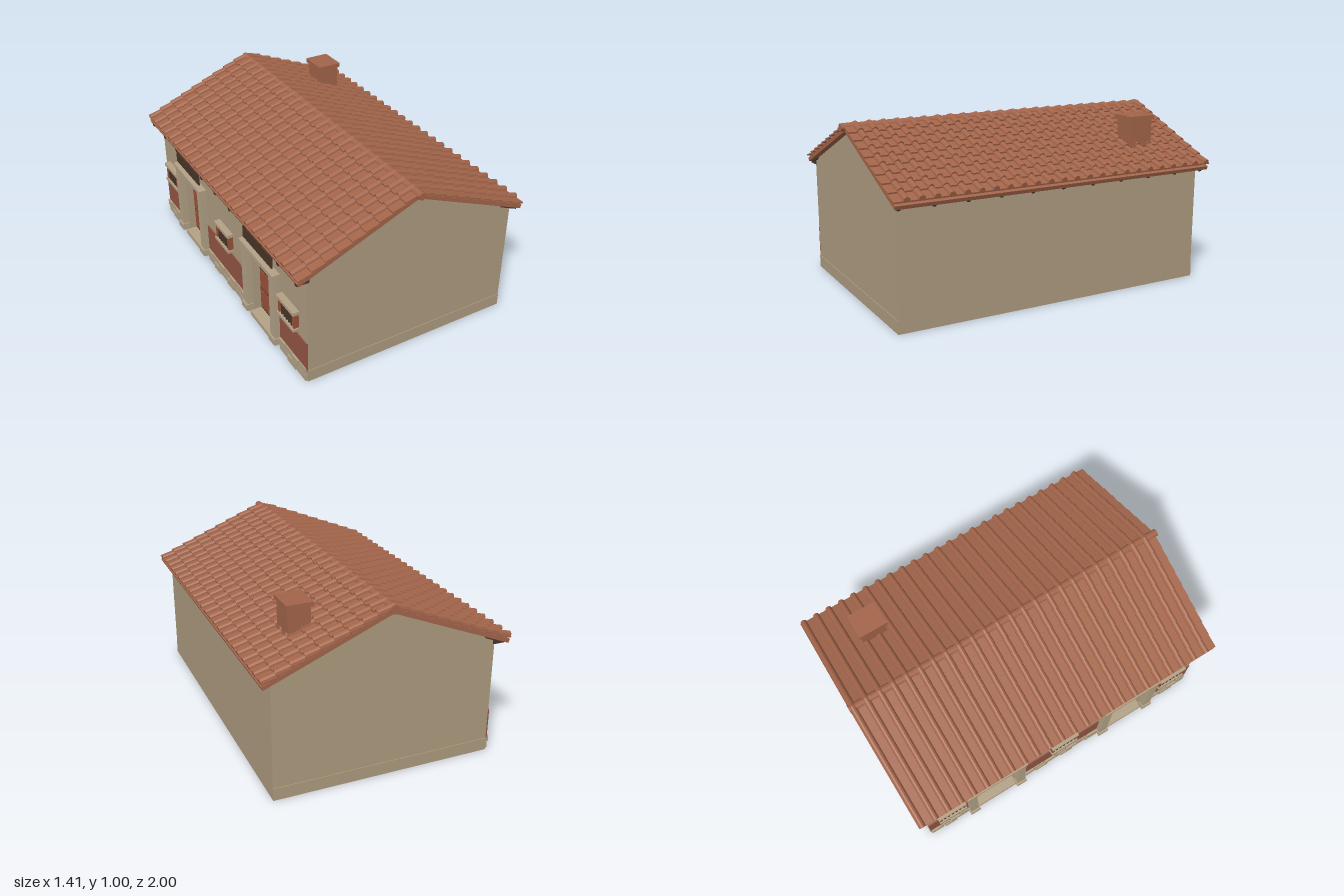
import * as THREE from 'three';

const mat = (name, color) => {
  const m = new THREE.MeshStandardMaterial({ color });
  m.name = name;
  return m;
};

export function createModel() {
  const plaster = mat('plaster', 0xae9c80);
  const stone = mat('stone', 0xb3a286);
  const tile = mat('terracotta', 0xa3654a);
  const dadoRed = mat('dado red', 0x955544);
  const wood = mat('dark wood', 0x4a3528);
  const doorRed = mat('door red', 0x98523a);

  const root = new THREE.Group();
  root.name = 'house';
  const group = (name, parent = root) => {
    const g = new THREE.Group();
    g.name = name;
    parent.add(g);
    return g;
  };
  const mesh = (name, geo, m, parent = root) => {
    const o = new THREE.Mesh(geo, m);
    o.name = name;
    parent.add(o);
    return o;
  };
  // Box given by its minimum and maximum corners
  const box = (name, m, x0, x1, y0, y1, z0, z1, parent = root) => {
    const o = mesh(name, new THREE.BoxGeometry(x1 - x0, y1 - y0, z1 - z0), m, parent);
    o.position.set((x0 + x1) / 2, (y0 + y1) / 2, (z0 + z1) / 2);
    return o;
  };
  const shapeOf = (pts) => new THREE.Shape(pts.map(([x, y]) => new THREE.Vector2(x, y)));

  const XL = -0.622, XR = 0.645, ZE = 0.95, RX = 0.01;
  const doors = [-0.485, 0.46], windows = [-0.79, -0.01, 0.775];
  const HALF = 0.195, OPEN = 0.14, DOOR_TOP = 0.47, BACK = -0.56;

  // Lower walls: floor plan with the two door recesses cut in
  const plan = [[XR, -ZE], [XR, ZE], [XL, ZE]];
  for (const z of doors) {
    plan.push([XL, -(z - OPEN)], [BACK, -(z - OPEN)], [BACK, -(z + OPEN)], [XL, -(z + OPEN)]);
  }
  plan.push([XL, -ZE]);
  const lower = new THREE.ExtrudeGeometry(shapeOf(plan), { depth: DOOR_TOP, bevelEnabled: false });
  lower.rotateX(-Math.PI / 2);
  mesh('lowerWalls', lower, plaster);

  // Upper walls with gables
  const gable = shapeOf([[XL, DOOR_TOP], [XR, DOOR_TOP], [XR, 0.68], [RX, 0.942], [XL, 0.68]]);
  const upper = new THREE.ExtrudeGeometry(gable, { depth: 2 * ZE, bevelEnabled: false });
  upper.translate(0, 0, -ZE);
  mesh('upperWalls', upper, plaster);
  for (const s of [-1, 1]) {
    box('gablePlinth', plaster, XL, XR, 0, 0.072, s * ZE - 0.004, s * ZE + 0.004);
  }

  // Painted dado and stone plinth between the doors
  const spans = [[-ZE, doors[0] - HALF], [doors[0] + HALF, doors[1] - HALF], [doors[1] + HALF, ZE]];
  const plinth = group('stonePlinth');
  for (const [a, b] of spans) {
    box('dado', dadoRed, XL - 0.006, XL + 0.002, 0.07, 0.255, a, b);
    for (let row = 0; row < 2; row++) {
      const n = Math.round((b - a) / 0.09) + row;
      const w = (b - a) / n;
      for (let i = 0; i < n; i++) {
        const depth = 0.012 + 0.006 * ((i + row) % 2);
        box('stoneBlock', stone, XL - depth, XL + 0.002, 0.003 + row * 0.042, 0.042 + row * 0.042,
          a + i * w + 0.003, a + (i + 1) * w - 0.003, plinth);
      }
    }
  }

  // Doorways with stone surrounds, double doors and a blank sign
  for (const z of doors) {
    const d = group('doorway');
    for (const s of [-1, 1]) {
      const inner = z + s * OPEN, outer = z + s * HALF;
      const lo = Math.min(inner, outer), hi = Math.max(inner, outer);
      box('doorPillar', stone, -0.66, XL + 0.002, 0.03, 0.485, lo, hi, d);
      box('pillarBase', stone, -0.67, XL, 0.04, 0.08, lo - 0.006, hi + 0.006, d);
      // Door leaf with red panels
      const l0 = Math.min(z, z + s * OPEN), l1 = Math.max(z, z + s * OPEN);
      box('doorLeaf', wood, BACK - 0.015, BACK + 0.002, 0.03, DOOR_TOP, l0, l1, d);
      for (let r = 0; r < 3; r++) {
        for (let c = 0; c < 2; c++) {
          const y0 = 0.05 + r * 0.138, z0 = l0 + 0.012 + c * 0.062;
          box('doorPanel', doorRed, BACK - 0.021, BACK - 0.014, y0, y0 + 0.12, z0, z0 + 0.052, d);
        }
      }
    }
    box('lintel', stone, -0.66, XL + 0.002, DOOR_TOP, 0.488, z - HALF, z + HALF, d);
    box('lintelCap', stone, -0.668, XL, 0.487, 0.51, z - HALF - 0.006, z + HALF + 0.006, d);
    box('threshold', stone, -0.645, BACK, 0.002, 0.03, z - OPEN, z + OPEN, d);
    box('signBoard', wood, -0.654, -0.646, 0.535, 0.605, z - 0.17, z + 0.17, d);
    for (const s of [-1, 1]) {
      box('signBracket', wood, -0.652, -0.648, 0.6, 0.67, z + s * 0.14 - 0.003, z + s * 0.14 + 0.003, d);
    }
  }

  // Barred windows
  for (const z of windows) {
    const w = group('window');
    box('windowPanel', doorRed, XL - 0.008, XL, 0.3, 0.392, z - 0.08, z + 0.08, w);
    box('windowSill', stone, -0.66, XL, 0.285, 0.302, z - 0.092, z + 0.092, w);
    box('windowLintel', stone, -0.66, XL, 0.39, 0.41, z - 0.092, z + 0.092, w);
    for (const s of [-1, 1]) {
      box('windowPost', doorRed, -0.652, XL, 0.3, 0.392, z + s * 0.078 - 0.008, z + s * 0.078 + 0.008, w);
    }
    for (let i = -2; i <= 2; i++) {
      box('windowBar', wood, -0.65, -0.638, 0.3, 0.392, z + i * 0.026 - 0.006, z + i * 0.026 + 0.006, w);
    }
  }

  // Cross-section of one tile course: flat pans with round cover tiles
  const ZC = -0.007, HW = 0.991, PITCH = 0.0822;
  const courseShape = (side) => {
    const bumps = [];
    for (let i = 0; i < 24; i++) bumps.push(side * (-0.976 + i * PITCH - ZC));
    bumps.sort((a, b) => a - b);
    const top = [[-HW, 0.009]];
    for (const u of bumps) {
      for (let k = 0; k <= 6; k++) {
        const a = Math.PI * (1 - k / 6);
        top.push([u + 0.0185 * Math.cos(a), 0.009 + 0.021 * Math.sin(a)]);
      }
    }
    top.push([HW, 0.009], [HW, 0], [-HW, 0]);
    return shapeOf(top);
  };

  // Two roof slopes, each with deck, rafter tails and overlapping courses
  const angle = Math.atan(0.411), c = Math.cos(angle), s = Math.sin(angle);
  const LEN = 0.742, COURSES = 9, STEP = LEN / COURSES;
  for (const side of [1, -1]) {
    const slope = group(side > 0 ? 'leftRoofSlope' : 'rightRoofSlope');
    slope.position.set(0.008 - side * 0.002, 0.948, ZC);
    slope.rotation.y = side > 0 ? 0 : Math.PI;
    // Local frame: x along the ridge, y off the roof, z up the slope
    const frame = group('roofFrame', slope);
    frame.quaternion.setFromRotationMatrix(new THREE.Matrix4().makeBasis(
      new THREE.Vector3(0, 0, 1), new THREE.Vector3(s, c, 0), new THREE.Vector3(-c, s, 0)));
    box('roofDeck', tile, -HW + 0.008, HW - 0.008, 0, 0.022, -LEN - 0.006, 0.004, frame);
    for (let i = 0; i < 11; i++) {
      const x = (i - 5) * 0.19 - side * ZC;
      box('rafterTail', wood, x - 0.009, x + 0.009, -0.014, 0.002, -LEN + 0.002, -0.62, frame);
    }
    const geo = new THREE.ExtrudeGeometry(courseShape(side), { depth: STEP + 0.016, bevelEnabled: false });
    geo.rotateX(0.12);
    for (let i = 0; i < COURSES; i++) {
      const course = mesh('tileCourse', geo, tile, frame);
      course.position.set(0, 0.033, -LEN + i * STEP);
    }
  }

  // Flat lookout beams under the facade eave
  for (let i = 0; i < 11; i++) {
    const z = (i - 5) * 0.19;
    box('eaveBeam', wood, -0.685, XL + 0.01, 0.655, 0.674, z - 0.01, z + 0.01);
  }

  // Ridge: overlapping round cap tiles
  const ridge = group('ridge');
  const RN = 20, RL = 2 / RN;
  for (let i = 0; i < RN; i++) {
    const cap = new THREE.CylinderGeometry(0.022, 0.025, RL, 12);
    cap.rotateX(Math.PI / 2);
    mesh('ridgeTile', cap, tile, ridge).position.set(0.008, 0.971, -1 + (i + 0.5) * RL);
  }

  // Chimney
  const chimney = group('chimney');
  box('chimneyShaft', tile, 0.347, 0.475, 0.75, 0.952, -0.745, -0.595, chimney);
  box('chimneyCap', tile, 0.335, 0.485, 0.95, 0.975, -0.758, -0.582, chimney);

  return root;
}
